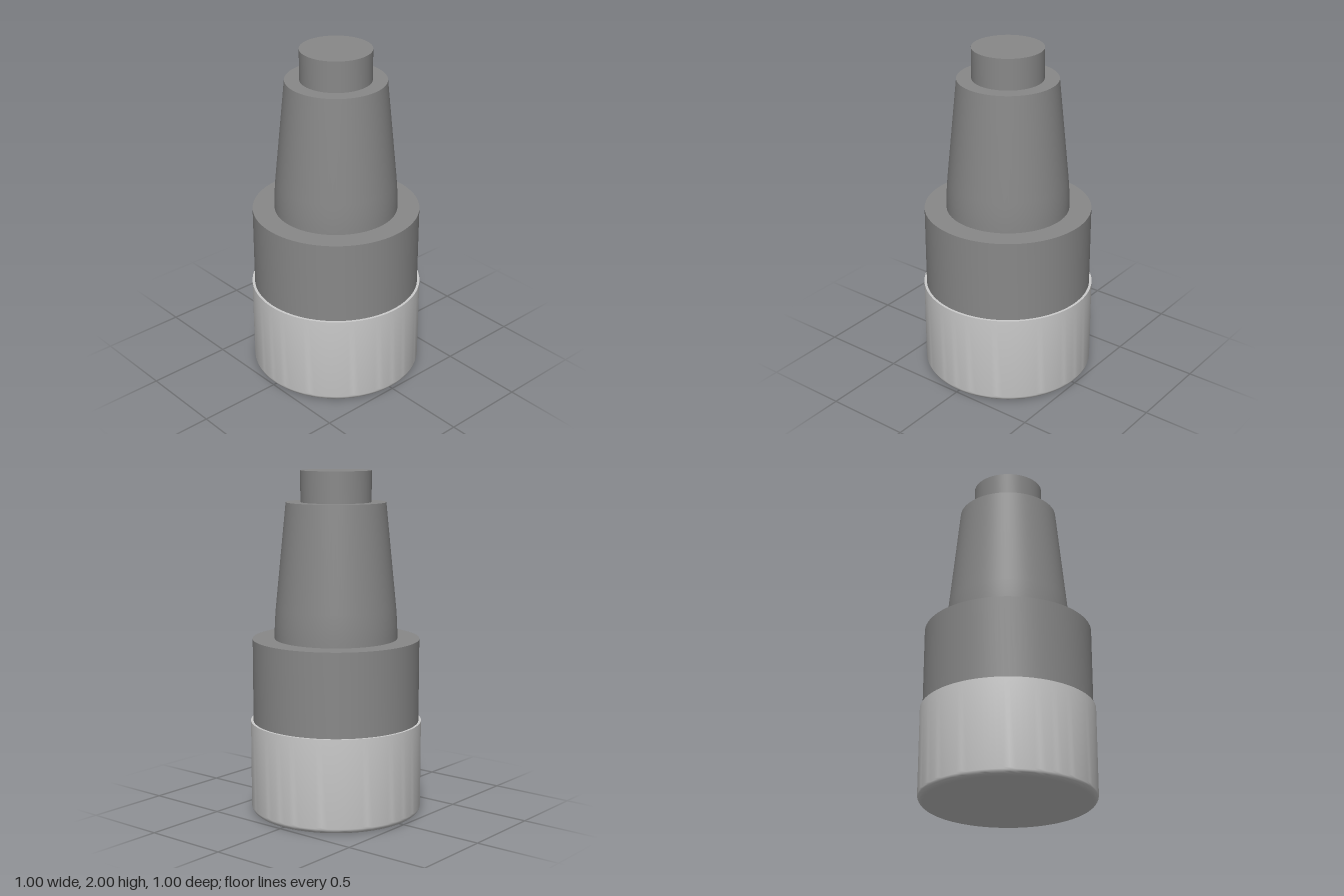
import * as THREE from 'three';
import { toCreasedNormals } from 'three/addons/utils/BufferGeometryUtils.js';

const SEGMENTS = 96;
const light = new THREE.MeshStandardMaterial({ color: 0xcccccc });
const dark = new THREE.MeshStandardMaterial({ color: 0x888888 });

// Turned part from [radius, height] points, listed bottom to top
function turned(name, profile, material) {
  const points = profile.map(([r, y]) => new THREE.Vector2(r, y));
  const geometry = toCreasedNormals(new THREE.LatheGeometry(points, SEGMENTS), 0.6);
  const mesh = new THREE.Mesh(geometry, material);
  mesh.name = name;
  return mesh;
}

export function createModel() {
  const group = new THREE.Group();
  group.name = 'steppedPlug';

  // Base cup with a rounded lower edge
  const radius = 0.5, fillet = 0.04, steps = 8;
  const base = [[0, 0]];
  for (let i = 0; i <= steps; i++) {
    const a = (i / steps) * Math.PI / 2;
    base.push([radius - fillet + fillet * Math.sin(a), fillet - fillet * Math.cos(a)]);
  }
  base.push([radius, 0.547], [0, 0.547]);
  group.add(turned('baseCup', base, light));

  // Wide collar standing in the cup
  group.add(turned('collar', [[0, 0.5], [0.485, 0.5], [0.485, 1.032], [0, 1.032]], dark));

  // Tapered neck, nearly straight at its foot
  group.add(turned('taperedNeck', [
    [0, 1.0], [0.357, 1.0], [0.357, 1.06], [0.355, 1.13], [0.349, 1.21],
    [0.288, 1.82], [0, 1.82],
  ], dark));

  // Pin at the tip
  group.add(turned('tipPin', [[0, 1.78], [0.204, 1.78], [0.204, 2], [0, 2]], dark));

  return group;
}
